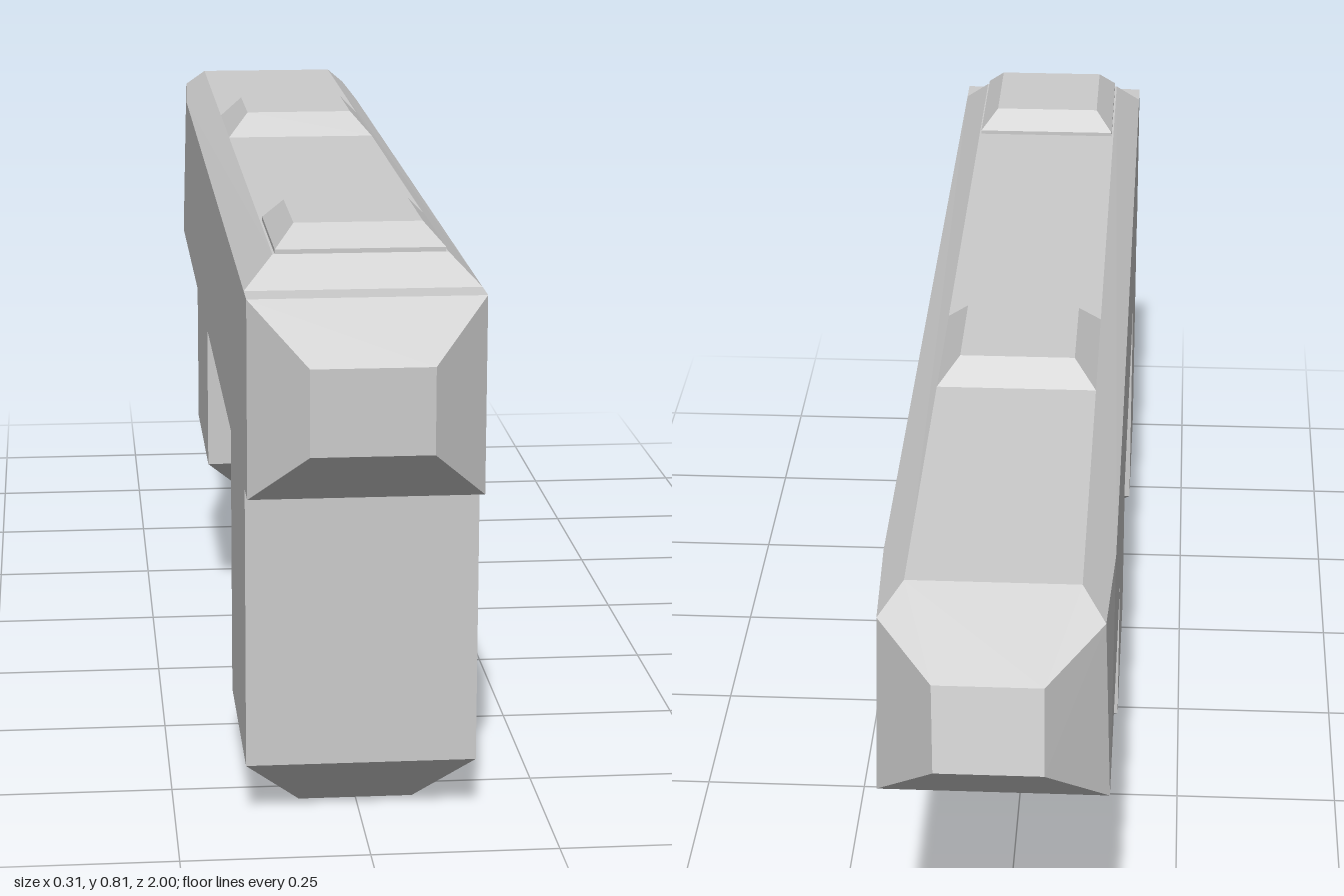
import * as THREE from 'three';

// Skin a list of rings; points run counter-clockwise seen from the first ring.
function loft(name, rings, { startCap = false, endCap = false, side = THREE.FrontSide } = {}) {
  const pos = [];
  const tri = (...pts) => {
    const [a, b, c] = pts.map((p) => new THREE.Vector3(...p));
    if (new THREE.Triangle(a, b, c).getArea() > 1e-7) pos.push(...pts.flat());
  };
  const fan = (ring) => {
    for (let j = 1; j < ring.length - 1; j++) tri(ring[0], ring[j], ring[j + 1]);
  };
  for (let i = 0; i < rings.length - 1; i++) {
    const r = rings[i], q = rings[i + 1];
    for (let j = 0; j < r.length; j++) {
      const k = (j + 1) % r.length;
      tri(r[j], q[j], q[k]);
      tri(r[j], q[k], r[k]);
    }
  }
  if (startCap) fan(rings[0]);
  if (endCap) fan([...rings[rings.length - 1]].reverse());
  const geo = new THREE.BufferGeometry();
  geo.setAttribute('position', new THREE.Float32BufferAttribute(pos, 3));
  geo.computeVertexNormals();
  const mesh = new THREE.Mesh(geo, new THREE.MeshStandardMaterial({ color: 0xcccccc, flatShading: true, side }));
  mesh.name = name;
  return mesh;
}

// Complete a right-hand half section by mirroring it across x.
const mirrored = (half) => [...half, ...half.map(([x, y, z]) => [-x, y, z]).reverse()];

// Rectangular level: half width, height, front z, back z.
const level = ([x, y, front, back]) => mirrored([[x, y, front], [x, y, back]]);

export function createModel() {
  const model = new THREE.Group();

  // Long beam with a bevelled closed front and an open tapered back;
  // each half section lists bottom edge, shoulder and top edge.
  const beam = [
    [[0.08, 0.54, 1], [0.08, 0.655, 1], [0.08, 0.655, 1]],
    [[0.155, 0.465, 0.925], [0.155, 0.73, 0.925], [0.155, 0.73, 0.925]],
    [[0.155, 0.465, 0.875], [0.155, 0.73, 0.875], [0.155, 0.73, 0.875]],
    [[0.155, 0.465, 0.875], [0.155, 0.73, 0.875], [0.115, 0.77, 0.837]],
    [[0.155, 0.465, -0.74], [0.155, 0.733, -0.74], [0.115, 0.77, -0.74]],
    [[0.155, 0.465, -0.91], [0.147, 0.74, -0.922], [0.115, 0.77, -0.877]],
    [[0.072, 0.555, -1], [0.072, 0.69, -1], [0.072, 0.69, -1]],
  ].map(mirrored);
  model.add(loft('beam', beam, { startCap: true, side: THREE.DoubleSide }));

  // Legs with bevelled feet
  const legs = {
    frontLeg: [[0.155, 0.465, 0.875, 0.572], [0.155, 0.08, 0.875, 0.572], [0.078, 0, 0.798, 0.648]],
    rearLeg: [[0.155, 0.465, -0.06, -0.377], [0.155, 0.24, -0.06, -0.377], [0.078, 0.16, -0.142, -0.298]],
  };
  for (const [name, levels] of Object.entries(legs)) {
    model.add(loft(name, levels.map(level), { endCap: true }));
  }

  // Low raised pads on top
  const pads = {
    frontPad: [[0.085, 0.805, 0.805, 0.637], [0.112, 0.776, 0.837, 0.607], [0.112, 0.768, 0.837, 0.607]],
    middlePad: [[0.083, 0.805, -0.14, -0.305], [0.115, 0.77, -0.106, -0.338]],
  };
  for (const [name, levels] of Object.entries(pads)) {
    model.add(loft(name, levels.map(level), { startCap: true }));
  }

  return model;
}
